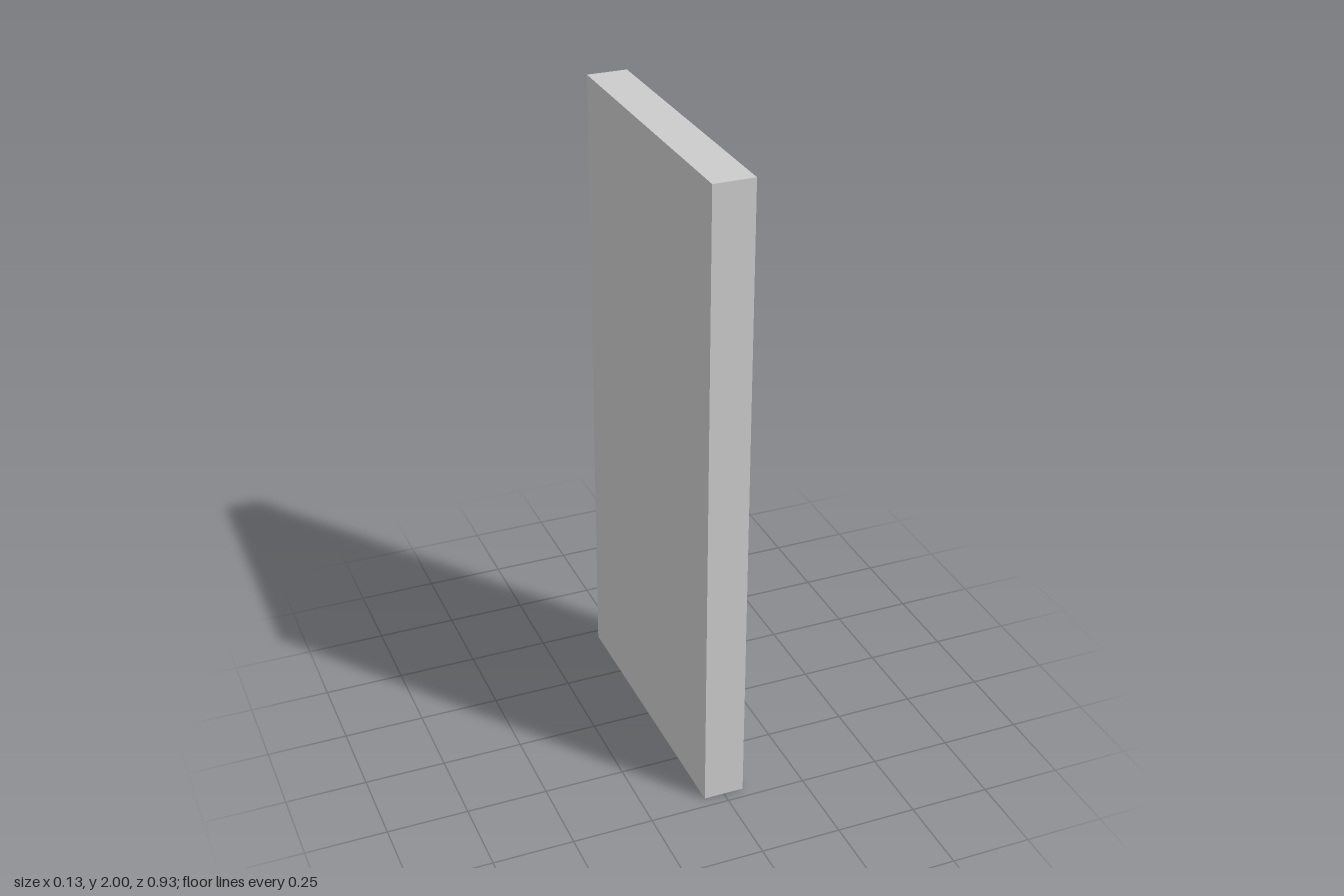
import * as THREE from 'three';

const H = 2, HALF_W = 0.465, HALF_D = 0.063;
const BACK = 0.05;                 // thickness of the closed back panel
const OPEN_FRONT = 0.40, OPEN_BACK = -0.39, OPEN_TOP = 1.905; // recess limits (z, z, y)

export function createModel() {
  const group = new THREE.Group();
  group.name = 'doorway';
  const material = new THREE.MeshStandardMaterial({ color: 0xcccccc, flatShading: true });

  // Solid panel closing the -x side
  const panel = new THREE.Mesh(new THREE.BoxGeometry(BACK, H, 2 * HALF_W), material);
  panel.name = 'doorPanel';
  panel.position.set(-HALF_D + BACK / 2, H / 2, 0);
  group.add(panel);

  // Two jambs and a lintel as one outline, open at the floor (shape x is -z)
  const outline = new THREE.Shape([
    [-HALF_W, 0], [-OPEN_FRONT, 0], [-OPEN_FRONT, OPEN_TOP], [-OPEN_BACK, OPEN_TOP],
    [-OPEN_BACK, 0], [HALF_W, 0], [HALF_W, H], [-HALF_W, H],
  ].map(([x, y]) => new THREE.Vector2(x, y)));
  const frameGeometry = new THREE.ExtrudeGeometry(outline, { depth: 2 * HALF_D - BACK, bevelEnabled: false });
  frameGeometry.rotateY(Math.PI / 2);
  const frame = new THREE.Mesh(frameGeometry, material);
  frame.name = 'doorFrame';
  frame.position.x = -HALF_D + BACK;
  group.add(frame);

  return group;
}
